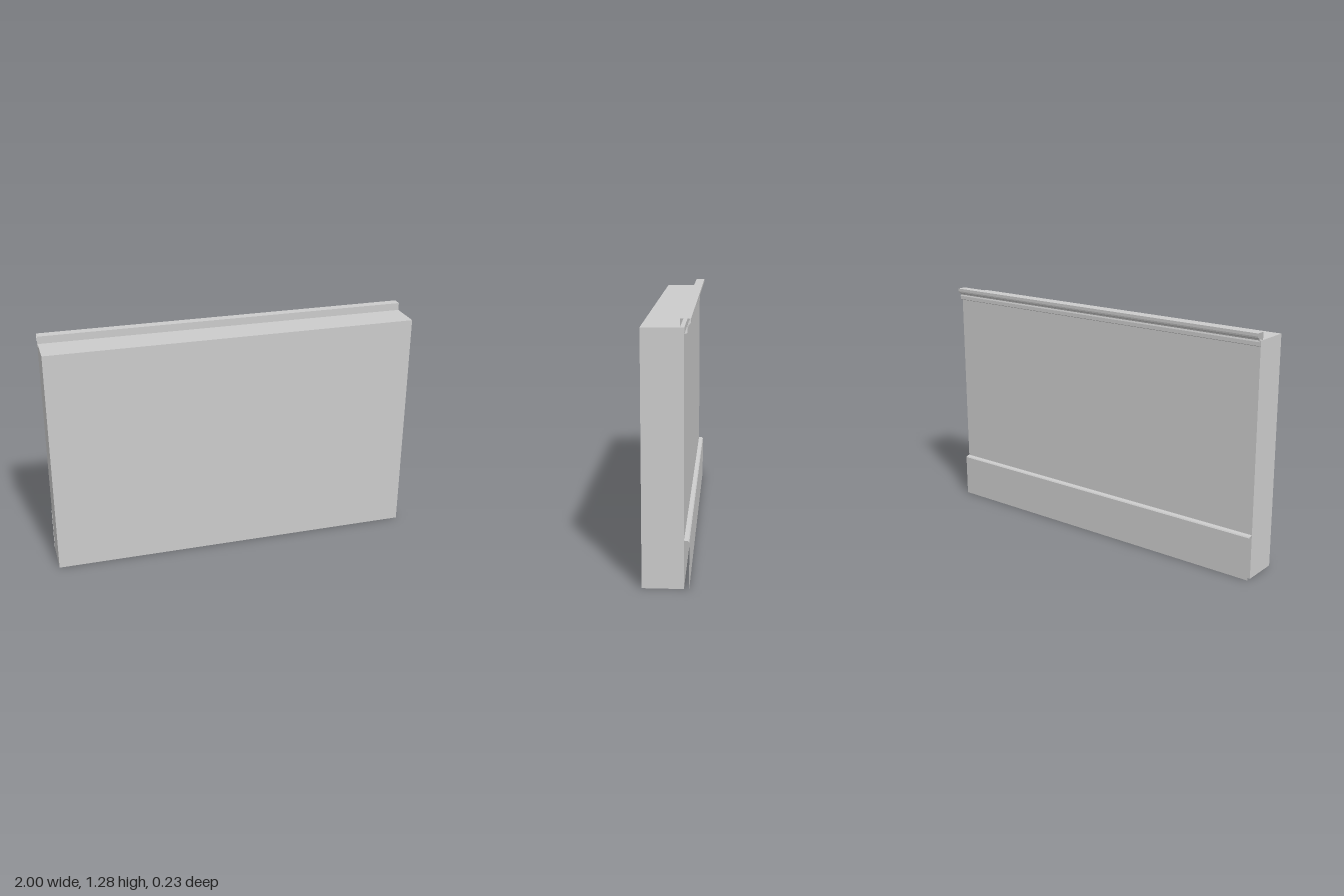
import * as THREE from 'three';

const HALF = 1; // half the wall length

// Open thin strip: a [z, y] profile swept along x, one flat facet per segment
function sweepStrip(name, profile, material) {
  const pos = [];
  for (let i = 0; i < profile.length - 1; i++) {
    const [z0, y0] = profile[i];
    const [z1, y1] = profile[i + 1];
    const a = [-HALF, y0, z0], b = [HALF, y0, z0];
    const c = [HALF, y1, z1], d = [-HALF, y1, z1];
    pos.push(...a, ...b, ...c, ...a, ...c, ...d);
  }
  const geo = new THREE.BufferGeometry();
  geo.setAttribute('position', new THREE.Float32BufferAttribute(pos, 3));
  geo.computeVertexNormals();
  const mesh = new THREE.Mesh(geo, material);
  mesh.name = name;
  return mesh;
}

export function createModel() {
  const group = new THREE.Group();
  group.name = 'wallSection';
  const solid = new THREE.MeshStandardMaterial({ color: 0xcccccc });
  const sheet = new THREE.MeshStandardMaterial({ color: 0xcccccc, side: THREE.DoubleSide });

  // Wall slab
  const wall = new THREE.Mesh(new THREE.BoxGeometry(2 * HALF, 1.24, 0.2), solid);
  wall.name = 'wall';
  wall.position.set(0, 0.62, 0.015);
  group.add(wall);

  // Baseboard along the foot of the back, with a bevelled top edge
  group.add(sweepStrip('baseboard', [
    [-0.11, 0], [-0.11, 0.232], [-0.105, 0.238], [-0.085, 0.241],
  ], sheet));

  // Cap moulding hooked over the top back edge, stepping down to the wall
  group.add(sweepStrip('capMoulding', [
    [-0.085, 1.21], [-0.1, 1.216], [-0.1, 1.235], [-0.097, 1.243], [-0.1, 1.25],
    [-0.113, 1.257], [-0.115, 1.265], [-0.115, 1.28], [-0.065, 1.28], [-0.065, 1.24],
  ].reverse(), sheet));

  return group;
}
